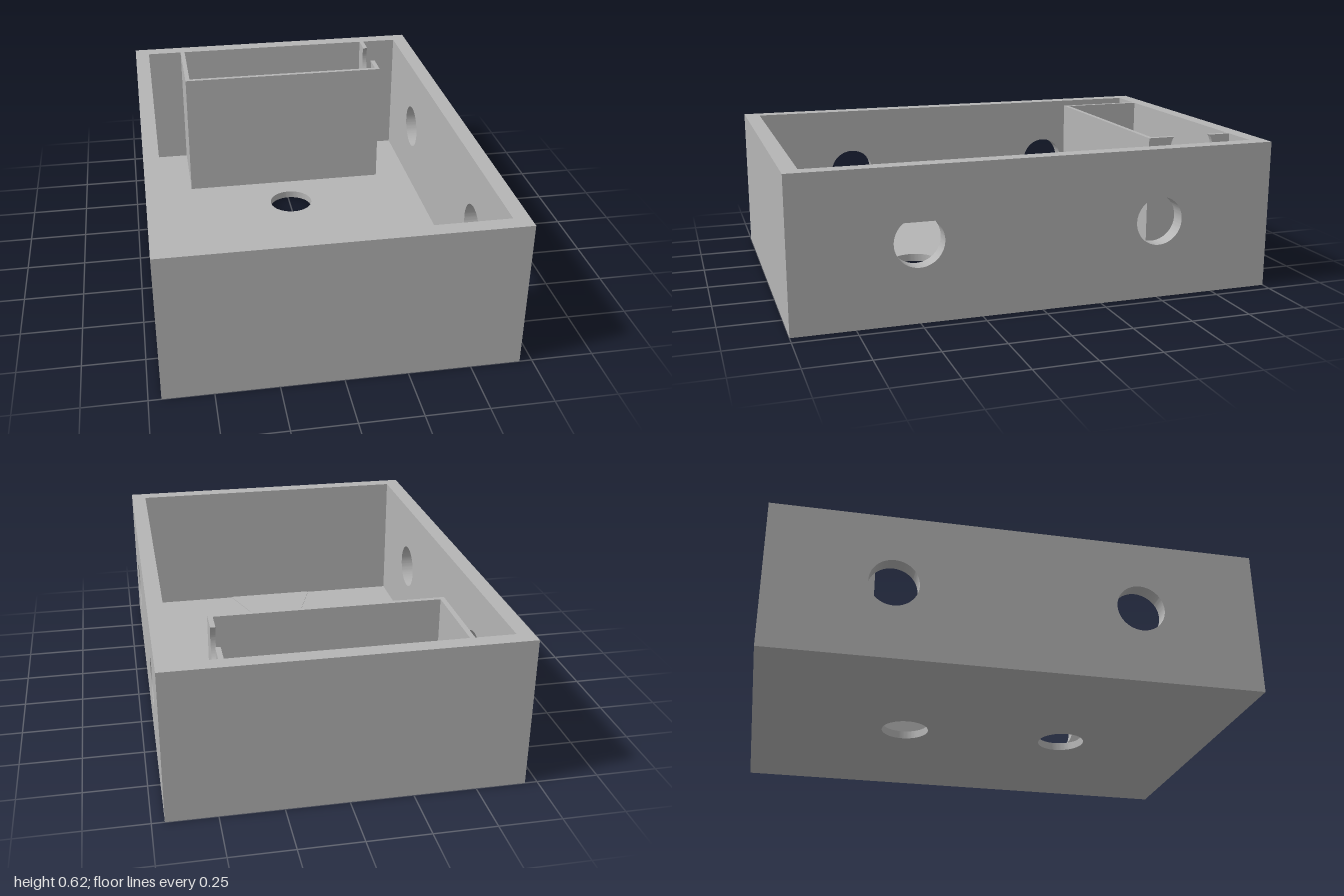
import * as THREE from 'three';
import { toCreasedNormals } from 'three/addons/utils/BufferGeometryUtils.js';

const W = 1.4, L = 2, H = 0.62;        // outer size
const WALL = 0.065, FLOOR = 0.033;     // shell thickness
const THIN = 0.02;                     // compartment wall
const R = 0.1;                         // hole radius

export function createModel() {
  const model = new THREE.Group();
  model.name = 'openBox';
  const grey = new THREE.MeshStandardMaterial({ color: 0xb5b5b5 });
  grey.name = 'grey';

  const add = (name, geometry, x = 0, y = 0, z = 0) => {
    const mesh = new THREE.Mesh(geometry, grey);
    mesh.name = name;
    mesh.position.set(x, y, z);
    model.add(mesh);
    return mesh;
  };
  const polygon = (points) => new THREE.Shape(points.map(([a, b]) => new THREE.Vector2(a, b)));
  const rectangle = (a0, b0, a1, b1) => polygon([[a0, b0], [a1, b0], [a1, b1], [a0, b1]]);
  const pierce = (shape, a, b) => shape.holes.push(new THREE.Path().absarc(a, b, R, 0, Math.PI * 2, true));
  const extrude = (shape, depth) => toCreasedNormals(
    new THREE.ExtrudeGeometry(shape, { depth, bevelEnabled: false, curveSegments: 48 }), 0.5);
  // Panel drawn in (z, y); its thickness runs towards -x
  const sidePanel = (shape, depth) => extrude(shape, depth).rotateY(-Math.PI / 2);
  // Panel drawn in (x, z); its thickness runs downwards
  const flatPanel = (shape, depth) => extrude(shape, depth).rotateX(Math.PI / 2);

  // Floor with two round holes
  const floor = rectangle(-W / 2, -L / 2, W / 2, L / 2);
  for (const z of [-0.35, 0.35]) pierce(floor, 0, z);
  add('floor', flatPanel(floor, FLOOR), 0, FLOOR, 0);

  // Long walls, each with two round holes
  const side = rectangle(-L / 2, FLOOR, L / 2, H);
  for (const z of [-0.5, 0.5]) pierce(side, z, 0.323);
  const sideGeometry = sidePanel(side, WALL);
  add('leftWall', sideGeometry, W / 2);
  add('rightWall', sideGeometry, -W / 2 + WALL);

  // Front and back walls
  const endGeometry = new THREE.BoxGeometry(W - 2 * WALL, H - FLOOR, WALL);
  for (const [name, s] of [['frontWall', 1], ['backWall', -1]]) {
    add(name, endGeometry, 0, (H + FLOOR) / 2, s * (L - WALL) / 2);
  }

  // Compartment against the back wall
  const half = 0.475, zBack = -L / 2 + WALL, zFront = -0.555;
  add('compartmentFront', new THREE.BoxGeometry(2 * half, H - FLOOR, THIN),
    0, (H + FLOOR) / 2, zFront - THIN / 2);
  const zInner = zFront - THIN;
  add('compartmentRight', sidePanel(rectangle(zBack, FLOOR, zInner, H), THIN), -half + THIN);

  // Its left wall has a round notch that opens through the top edge
  const notchZ = -0.755, notchY = H - 0.053;
  const angle = Math.asin((H - notchY) / R);
  const notched = new THREE.Shape();
  notched.moveTo(zBack, FLOOR);
  notched.lineTo(zInner, FLOOR);
  notched.lineTo(zInner, H);
  notched.absarc(notchZ, notchY, R, angle, Math.PI - angle, true);
  notched.lineTo(zBack, H);
  add('compartmentLeft', sidePanel(notched, THIN), half);

  // Low fan-shaped run on the floor, from the front wall to the front hole
  const zWall = L / 2 - WALL, spread = 0.36;
  const fan = new THREE.Shape();
  fan.moveTo(0.21, zWall);
  fan.lineTo(-0.21, zWall);
  fan.absarc(0, 0.35, R, Math.PI / 2 + spread, Math.PI / 2 - spread, true);
  add('floorRun', flatPanel(fan, 0.003), 0, FLOOR + 0.003, 0);

  return model;
}
